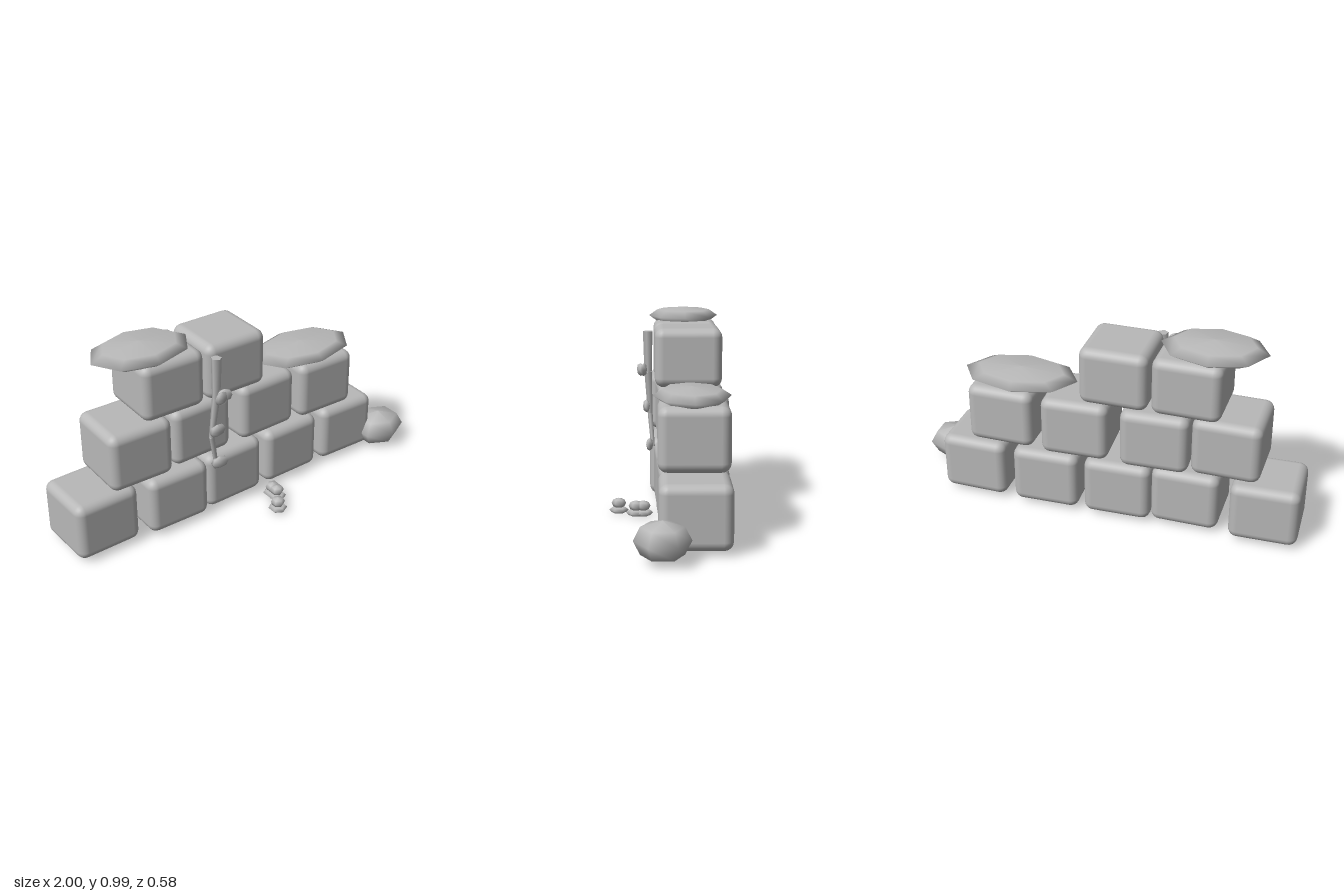
import * as THREE from 'three';
import { RoundedBoxGeometry } from 'three/addons/geometries/RoundedBoxGeometry.js';

export function createModel() {
  const model = new THREE.Group();
  model.name = 'ruinedWall';
  const stone = new THREE.MeshStandardMaterial({ color: 0xb8b8b8 });
  stone.name = 'greyStone';

  function add(name, geometry, x, y, z, yaw = 0) {
    const mesh = new THREE.Mesh(geometry, stone);
    mesh.name = name;
    mesh.position.set(x, y, z);
    mesh.rotation.y = yaw;
    model.add(mesh);
    return mesh;
  }

  // Faceted pebble: five-point profile turned around y, then stretched
  const profile = [[0, -1], [0.76, -0.68], [1, 0], [0.76, 0.68], [0, 1]]
    .map(([r, y]) => new THREE.Vector2(r, y));
  function pebble(name, sides, [x, y, z], [sx, sy, sz], yaw = 0) {
    const geometry = new THREE.LatheGeometry(profile, sides).scale(sx, sy, sz);
    return add(name, geometry, x, y, z, yaw);
  }

  // Courses of rounded blocks: x centre, z centre, yaw
  const courses = [
    { y: 0.171, h: 0.30, blocks: [[-0.828, -0.115, 0.02], [-0.44, -0.09, -0.01], [-0.1, -0.11, 0.02], [0.267, -0.115, 0.02], [0.642, -0.11, -0.02]] },
    { y: 0.485, h: 0.30, blocks: [[-0.632, -0.098, -0.02], [-0.283, -0.122, 0.03], [0.113, -0.122, 0.03], [0.488, -0.11, -0.02]] },
    { y: 0.782, h: 0.29, blocks: [[-0.435, -0.11, -0.02], [-0.083, -0.108, -0.01]] },
  ];
  for (const { y, h, blocks } of courses) {
    for (const [x, z, yaw] of blocks) {
      add('wallBlock', new RoundedBoxGeometry(0.336, h, 0.33, 3, 0.045), x, y, z, yaw);
    }
  }

  // Flat cap stones and the fallen boulder
  pebble('capStone', 8, [-0.527, 0.946, -0.105], [0.255, 0.045, 0.182]);
  pebble('capStone', 8, [0.43, 0.656, -0.105], [0.29, 0.042, 0.182]);
  pebble('boulder', 6, [0.872, 0.098, 0.042], [0.147, 0.09, 0.127]);

  // Hanging vine made of straight tapered pieces
  const vine = [[-0.232, 0.888, 0.086], [-0.235, 0.68, 0.085], [-0.258, 0.46, 0.075], [-0.226, 0.29, 0.062]]
    .map((p) => new THREE.Vector3(...p));
  const radii = [0.027, 0.021, 0.014, 0.011];
  for (let i = 0; i < 3; i++) {
    const [a, b] = [vine[i], vine[i + 1]];
    const geometry = new THREE.CylinderGeometry(radii[i], radii[i + 1], a.distanceTo(b), 5);
    const piece = add('vineStem', geometry, 0, 0, 0);
    piece.position.copy(a).add(b).multiplyScalar(0.5);
    piece.quaternion.setFromUnitVectors(new THREE.Vector3(0, 1, 0), a.clone().sub(b).normalize());
  }

  // Vine leaves
  pebble('vineLeaf', 6, [-0.232, 0.69, 0.125], [0.044, 0.033, 0.017], 0.3);
  pebble('vineLeaf', 6, [-0.206, 0.692, 0.11], [0.044, 0.033, 0.017], -0.3);
  pebble('vineLeaf', 6, [-0.238, 0.5, 0.096], [0.05, 0.033, 0.018], 0.1);
  pebble('vineLeaf', 6, [-0.216, 0.302, 0.08], [0.05, 0.033, 0.018], -0.1);

  // Small ground plants: broad base with a rounded bud
  for (const [x, z] of [[0.026, 0.238], [0.086, 0.153], [0.086, 0.117]]) {
    pebble('plantBase', 6, [x, 0.018, z], [0.048, 0.017, 0.048]);
    pebble('plantBud', 6, [x, 0.053, z], [0.036, 0.026, 0.036]);
  }

  return model;
}
